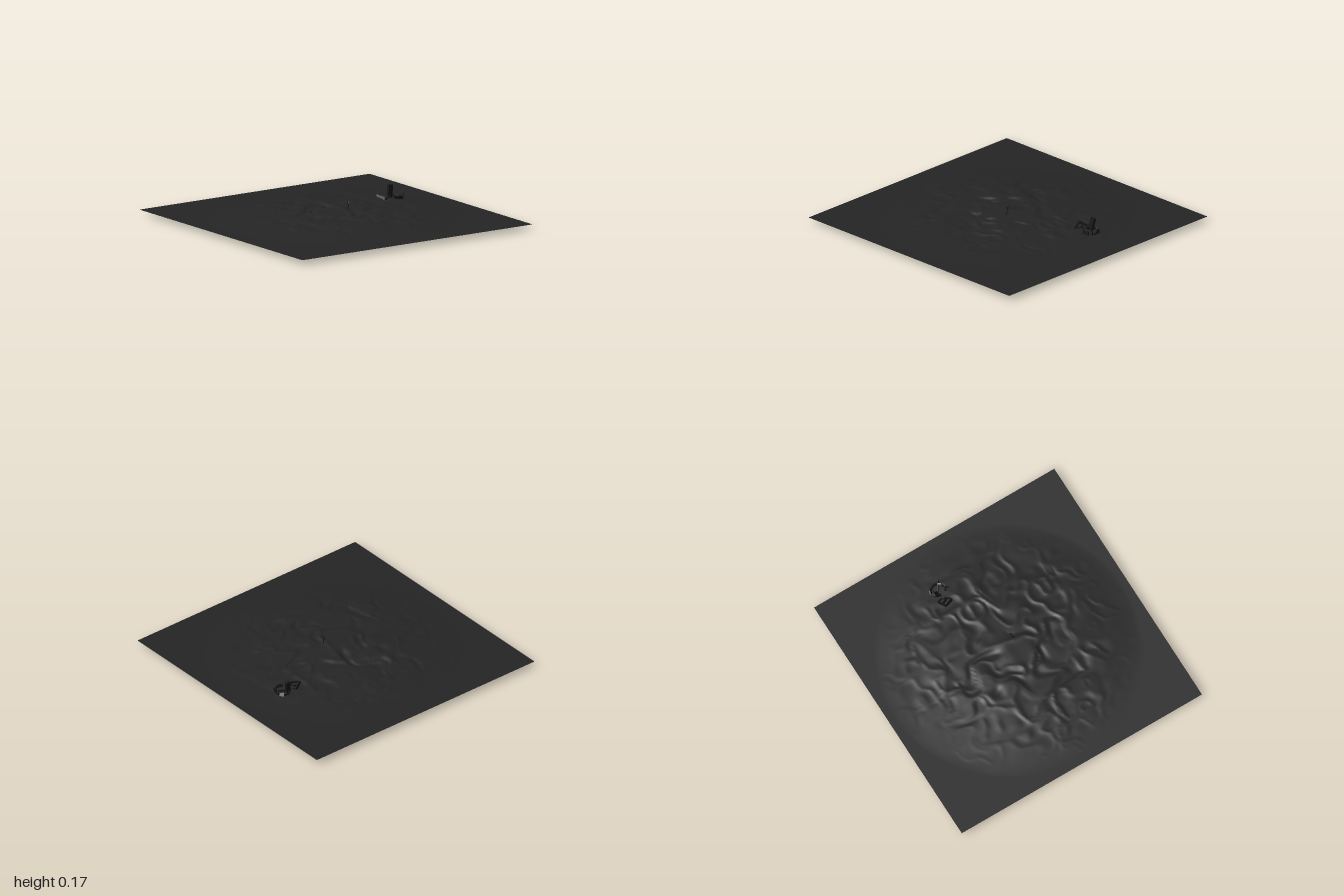
import * as THREE from 'three';

const soil = new THREE.MeshStandardMaterial({ color: 0x252525, side: THREE.DoubleSide });
soil.name = 'dark soil';
const wood = new THREE.MeshStandardMaterial({ color: 0x161616 });
wood.name = 'charred wood';

// Repeatable smooth value noise, -1 to 1
const hash = (i, j) => {
  const s = Math.sin(i * 127.1 + j * 311.7) * 43758.5453;
  return (s - Math.floor(s)) * 2 - 1;
};
function noise(x, y) {
  const i = Math.floor(x), j = Math.floor(y);
  const fade = (t) => t * t * t * (t * (t * 6 - 15) + 10);
  const u = fade(x - i), v = fade(y - j);
  const mix = THREE.MathUtils.lerp;
  return mix(mix(hash(i, j), hash(i + 1, j), u), mix(hash(i, j + 1), hash(i + 1, j + 1), u), v);
}

// Low dome with folded, winding ridges that fade out to a flat border
function groundHeight(x, z) {
  const dome = Math.pow(Math.max(0, 1 - (x * x + z * z) / 0.9), 1.5);
  const wx = x * 7 + 0.9 * noise(x * 8 + 5, z * 8);
  const wz = z * 7 + 0.9 * noise(x * 8, z * 8 + 9);
  const ridge = 1 - 2 * Math.abs(noise(wx * 1.3 + 20, wz * 1.3));
  const relief = 0.014 * noise(wx * 0.5, wz * 0.5 + 3) + 0.009 * ridge;
  return 0.03 + dome * (0.051 + relief);
}

function makeGround() {
  const geo = new THREE.PlaneGeometry(2, 2, 160, 160).rotateX(-Math.PI / 2);
  const p = geo.attributes.position;
  for (let i = 0; i < p.count; i++) p.setY(i, groundHeight(p.getX(i), p.getZ(i)));
  geo.computeVertexNormals();
  const mesh = new THREE.Mesh(geo, soil);
  mesh.name = 'ground';
  return mesh;
}

// Straight piece between two points: tapered twig or square beam
function stick(name, a, b, r0, r1, sides = 5) {
  const from = new THREE.Vector3(...a), to = new THREE.Vector3(...b);
  const dir = to.clone().sub(from);
  const geo = new THREE.CylinderGeometry(r1, r0, dir.length(), sides);
  const mesh = new THREE.Mesh(sides === 4 ? geo.toNonIndexed() : geo, wood);
  if (sides === 4) mesh.geometry.computeVertexNormals();
  mesh.name = name;
  mesh.position.copy(from).add(to).multiplyScalar(0.5);
  mesh.quaternion.setFromUnitVectors(new THREE.Vector3(0, 1, 0), dir.normalize());
  return mesh;
}

function makeTree() {
  const tree = new THREE.Group();
  tree.name = 'bareTree';
  tree.add(stick('trunk', [0.053, 0.07, 0.078], [0.058, 0.125, 0.064], 0.004, 0.0025));
  const fork = [0.058, 0.125, 0.064];
  const tips = [[0.05, 0.145, 0.07], [0.066, 0.162, 0.053], [0.078, 0.152, 0.066], [0.06, 0.158, 0.06]];
  for (const tip of tips) {
    tree.add(stick('branch', fork, tip, 0.0022, 0.0008));
    const mid = fork.map((v, k) => (v + tip[k]) / 2);
    tree.add(stick('twig', mid, [mid[0] + 0.008, mid[1] + 0.009, mid[2] + 0.006], 0.0012, 0.0005));
  }
  tree.add(stick('lowTwig', [0.055, 0.1, 0.071], [0.044, 0.118, 0.082], 0.0015, 0.0006));
  return tree;
}

function block(name, size, pos, rot) {
  const mesh = new THREE.Mesh(new THREE.BoxGeometry(...size), wood);
  mesh.name = name;
  mesh.position.set(...pos);
  mesh.rotation.set(...rot);
  return mesh;
}

function makeWreck() {
  const wreck = new THREE.Group();
  wreck.name = 'wreckage';

  // Leaning post
  wreck.add(block('leaningPost', [0.034, 0.1, 0.022], [0.622, 0.095, -0.217], [-0.14, 0, -0.16]));

  // Broken ring of tilted pieces
  const n = 9;
  for (let i = 0; i < n; i++) {
    if (i === 4) continue;
    const t = (i / n) * Math.PI * 2;
    const x = 0.645 + 0.044 * Math.cos(t), z = -0.185 + 0.055 * Math.sin(t);
    wreck.add(block('ringPiece', [0.01, 0.028 + 0.008 * hash(i, 2), 0.032],
      [x, groundHeight(x, z) + 0.004, z], [0.4 * hash(i, 5), -t, 0.5 * hash(i, 7)]));
  }
  wreck.add(stick('looseBeam', [0.61, 0.05, -0.1], [0.655, 0.07, -0.15], 0.007, 0.006, 4));
  wreck.add(stick('looseBeam', [0.685, 0.03, -0.16], [0.695, 0.085, -0.15], 0.007, 0.005, 4));
  wreck.add(stick('looseBeam', [0.63, 0.06, -0.2], [0.675, 0.062, -0.17], 0.007, 0.006, 4));

  // Half-buried frame with cross bars
  const frame = new THREE.Group();
  frame.name = 'buriedFrame';
  for (const z of [-0.034, 0.034]) {
    frame.add(block('sideRail', [0.075, 0.018, 0.01], [0, 0, z], [0, 0, 0]));
  }
  for (const x of [-0.033, 0, 0.033]) {
    frame.add(block('crossBar', [0.012, 0.016, 0.068], [x, 0, 0], [0, 0, 0]));
  }
  frame.position.set(0.545, 0.064, -0.19);
  frame.rotation.set(0.3, 0.35, -0.45);
  wreck.add(frame);
  wreck.add(block('buriedBlock', [0.045, 0.05, 0.045], [0.56, 0.031, -0.175], [0.3, 0.4, 0.3]));
  return wreck;
}

export function createModel() {
  const model = new THREE.Group();
  model.name = 'barrenGround';
  model.add(makeGround(), makeTree(), makeWreck());
  return model;
}
